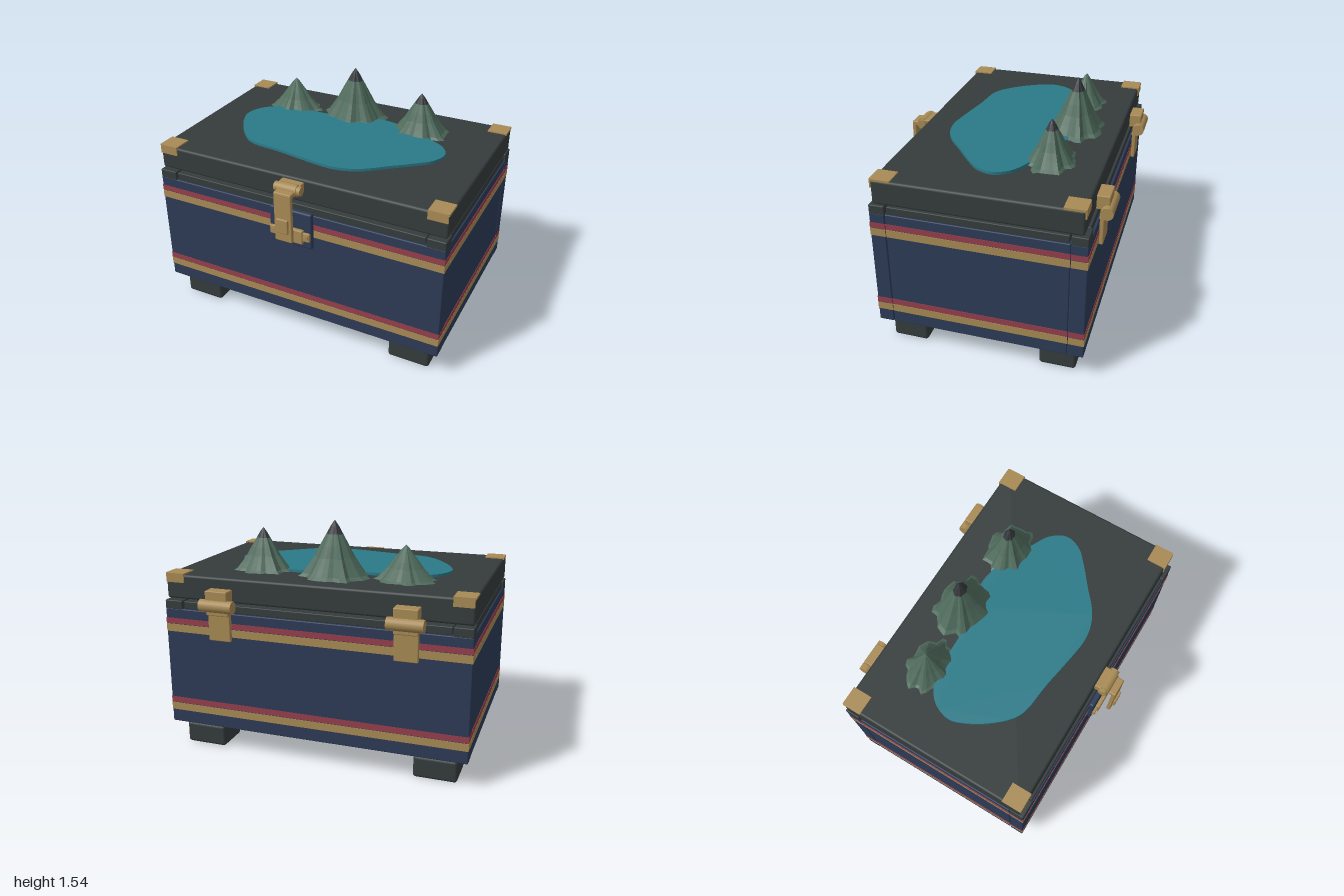
import * as THREE from 'three';
import { RoundedBoxGeometry } from 'three/addons/geometries/RoundedBoxGeometry.js';

const mat = (name, color, extra = {}) => {
  const m = new THREE.MeshStandardMaterial({ color, ...extra });
  m.name = name;
  return m;
};

export function createModel() {
  const root = new THREE.Group();
  root.name = 'chest';
  const navy = mat('navy', 0x2d3b57);
  const dark = mat('charcoal', 0x353c3c);
  const gold = mat('brass', 0xa88a55);
  const red = mat('red', 0x963e4c);
  const teal = mat('teal', 0x2b7a88);
  const green = mat('mountainGreen', 0x4f6b5c, { flatShading: true });
  const peak = mat('peakGrey', 0x34373b, { flatShading: true });

  const add = (name, geo, material, parent = root) => {
    const m = new THREE.Mesh(geo, material);
    m.name = name;
    parent.add(m);
    return m;
  };
  // Box given by its extents, with optional rounded edges
  const box = (name, material, [x0, x1], [y0, y1], [z0, z1], r = 0, parent = root) => {
    const s = [x1 - x0, y1 - y0, z1 - z0];
    const geo = r ? new RoundedBoxGeometry(...s, 2, r) : new THREE.BoxGeometry(...s);
    const m = add(name, geo, material, parent);
    m.position.set((x0 + x1) / 2, (y0 + y1) / 2, (z0 + z1) / 2);
    return m;
  };
  const barrel = (name, r, len, x, y, z, parent = root) => {
    const m = add(name, new THREE.CylinderGeometry(r, r, len, 24), gold, parent);
    m.rotation.z = Math.PI / 2;
    m.position.set(x, y, z);
  };

  // Body panels with seams near the corners
  box('frontPanel', navy, [-1, 1], [0.17, 0.96], [0.543, 0.64], 0.006);
  box('backPanel', navy, [-1, 1], [0.17, 0.96], [-0.69, -0.593], 0.006);
  box('sidePanels', navy, [-0.998, 0.998], [0.17, 0.96], [-0.588, 0.538], 0.006);
  box('bodyCore', navy, [-0.985, 0.985], [0.18, 0.96], [-0.67, 0.62]);
  box('basePlate', navy, [-0.92, 0.92], [0.14, 0.18], [-0.59, 0.54]);

  // Feet
  for (const x of [-0.79, 0.79]) for (const z of [-0.515, 0.465])
    box('foot', dark, [x - 0.14, x + 0.14], [0, 0.145], [z - 0.117, z + 0.117], 0.02);

  // Painted stripes round the body
  const stripes = [[red, 0.86, 0.897], [gold, 0.806, 0.857], [red, 0.308, 0.347], [gold, 0.255, 0.305]];
  for (const [m, y0, y1] of stripes) {
    box('frontStripe', m, [-1, 1], [y0, y1], [0.637, 0.642]);
    box('backStripe', m, [-1, 1], [y0, y1], [-0.692, -0.687]);
    for (const s of [-1, 1]) {
      const xr = s > 0 ? [0.996, 1.001] : [-1.001, -0.996];
      for (const zr of [[0.543, 0.64], [-0.588, 0.538], [-0.69, -0.593]]) box('sideStripe', m, xr, [y0, y1], zr);
    }
  }

  // Rim rails, corner blocks and lid rests
  box('rimRails', dark, [-0.99, 0.99], [0.96, 1.01], [-0.58, 0.53], 0.005);
  box('rimCrossRails', dark, [-0.873, 0.873], [0.96, 1.01], [-0.675, 0.63], 0.005);
  for (const s of [-1, 1]) {
    const xr = s > 0 ? [0.88, 1] : [-1, -0.88];
    box('rimCorner', dark, xr, [0.955, 1.015], [0.54, 0.64], 0.006);
    box('rimCorner', dark, xr, [0.955, 1.015], [-0.69, -0.59], 0.006);
    box('lidRest', dark, [s * 0.61 - 0.11, s * 0.61 + 0.11], [1.0, 1.03], [-0.6, 0.5]);
  }

  // Lid with brass corner caps
  box('lid', dark, [-0.997, 0.997], [1.022, 1.182], [-0.665, 0.615], 0.016);
  for (const s of [-1, 1]) {
    const xr = s > 0 ? [0.868, 0.993] : [-0.993, -0.868];
    const edge = s > 0 ? [0.992, 0.998] : [-0.998, -0.992];
    box('cornerTop', gold, xr, [1.176, 1.19], [0.49, 0.615]);
    box('cornerTop', gold, xr, [1.176, 1.19], [-0.665, -0.54]);
    box('cornerFront', gold, xr, [1.13, 1.19], [0.612, 0.621]);
    box('cornerBack', gold, xr, [1.13, 1.19], [-0.671, -0.662]);
    box('cornerEdge', gold, edge, [1.176, 1.19], [0.49, 0.615]);
    box('cornerEdge', gold, edge, [1.176, 1.19], [-0.665, -0.54]);
  }

  // Lake on the lid
  const shore = [[-0.74, -0.05], [-0.70, -0.17], [-0.6, -0.25], [-0.45, -0.28], [-0.27, -0.285], [-0.1, -0.3],
    [0.05, -0.345], [0.17, -0.365], [0.3, -0.34], [0.42, -0.285], [0.55, -0.225], [0.68, -0.15], [0.735, -0.05],
    [0.7, 0.06], [0.6, 0.155], [0.48, 0.25], [0.35, 0.355], [0.25, 0.4], [0.14, 0.415], [-0.05, 0.39],
    [-0.25, 0.355], [-0.45, 0.33], [-0.53, 0.29], [-0.64, 0.17], [-0.71, 0.05]];
  const curve = new THREE.CatmullRomCurve3(shore.map(([x, z]) => new THREE.Vector3(x, -z, 0)), true);
  const lakeShape = new THREE.Shape(curve.getPoints(100).slice(0, -1).map(p => new THREE.Vector2(p.x, p.y)));
  const lake = add('lake', new THREE.ExtrudeGeometry(lakeShape, { depth: 0.022, bevelEnabled: false }), teal);
  lake.rotation.x = -Math.PI / 2;
  lake.position.y = 1.178;

  // Ridged mountains: concave rings whose outline is lobed; the top rings form the cap
  const profile = [[0, 1], [0.06, 0.87], [0.2, 0.72], [0.36, 0.56], [0.55, 0.41], [0.76, 0.23], [0.9, 0.11], [1, 0]];
  const N = 32;
  const mountain = (x, z, rx, rz, h, phase, capRing) => {
    const ringPoint = (k, i) => {
      const a = (i % N) / N * Math.PI * 2;
      const [t, r] = profile[k];
      const lobe = 0.92 + (0.08 * Math.cos(7 * a + phase) + 0.05 * Math.cos(11 * a + 2 * phase)) * (1 - 0.4 * t);
      return [Math.cos(a) * r * rx * lobe, t * h, Math.sin(a) * r * rz * lobe];
    };
    const band = (from, to) => {
      const p = [];
      for (let k = from; k < to; k++) for (let i = 0; i < N; i++) {
        const a = ringPoint(k, i), b = ringPoint(k, i + 1), c = ringPoint(k + 1, i), d = ringPoint(k + 1, i + 1);
        p.push(...a, ...c, ...b);
        if (k + 1 < profile.length - 1) p.push(...b, ...c, ...d);
      }
      const g = new THREE.BufferGeometry();
      g.setAttribute('position', new THREE.Float32BufferAttribute(p, 3));
      g.computeVertexNormals();
      return g;
    };
    const group = new THREE.Group();
    group.name = 'mountain';
    group.position.set(x, 1.18, z);
    root.add(group);
    const last = profile.length - 1;
    add('mountainSlope', band(0, capRing), green, group);
    if (capRing < last) add('mountainCap', band(capRing, last), peak, group);
  };
  mountain(-0.505, -0.345, 0.205, 0.15, 0.225, 0.6, 7);
  mountain(-0.055, -0.38, 0.24, 0.19, 0.36, 2.0, 5);
  mountain(0.455, -0.335, 0.21, 0.165, 0.28, 3.6, 5);

  // Front latch
  const latch = new THREE.Group();
  latch.name = 'latch';
  root.add(latch);
  box('latchBackPlate', navy, [-0.148, 0.148], [0.725, 0.978], [0.63, 0.668], 0.012, latch);
  box('latchCatch', gold, [-0.095, 0.095], [0.765, 0.86], [0.66, 0.695], 0.006, latch);
  box('latchCatchWings', gold, [-0.14, 0.14], [0.785, 0.845], [0.66, 0.685], 0.006, latch);
  for (const x of [-0.115, 0.115]) {
    const rivet = add('rivet', new THREE.CylinderGeometry(0.018, 0.018, 0.012, 16), gold, latch);
    rivet.rotation.x = Math.PI / 2;
    rivet.position.set(x, 0.815, 0.688);
  }
  box('latchMount', gold, [-0.075, 0.075], [1.1, 1.165], [0.61, 0.66], 0.006, latch);
  barrel('latchBarrel', 0.037, 0.13, 0, 1.135, 0.675, latch);
  barrel('latchPin', 0.03, 0.18, 0, 1.135, 0.675, latch);
  box('latchArm', gold, [-0.06, 0.06], [1.105, 1.14], [0.675, 0.757], 0.008, latch);
  box('latchStrap', gold, [-0.06, 0.06], [0.8, 1.135], [0.73, 0.758], 0.008, latch);
  box('latchGrip', gold, [-0.04, 0.04], [0.865, 0.965], [0.75, 0.773], 0.006, latch);

  // Back hinges
  for (const x of [-0.61, 0.605]) {
    const hinge = new THREE.Group();
    hinge.name = 'hinge';
    root.add(hinge);
    const w = [x - 0.075, x + 0.075];
    box('hingeLidLeaf', gold, w, [1.02, 1.112], [-0.745, -0.66], 0.006, hinge);
    barrel('hingeBarrel', 0.04, 0.225, x, 1.015, -0.735, hinge);
    box('hingeKnuckle', gold, w, [0.95, 1.015], [-0.735, -0.69], 0.006, hinge);
    box('hingeBodyLeaf', gold, w, [0.78, 0.97], [-0.716, -0.685], 0.006, hinge);
  }

  return root;
}
